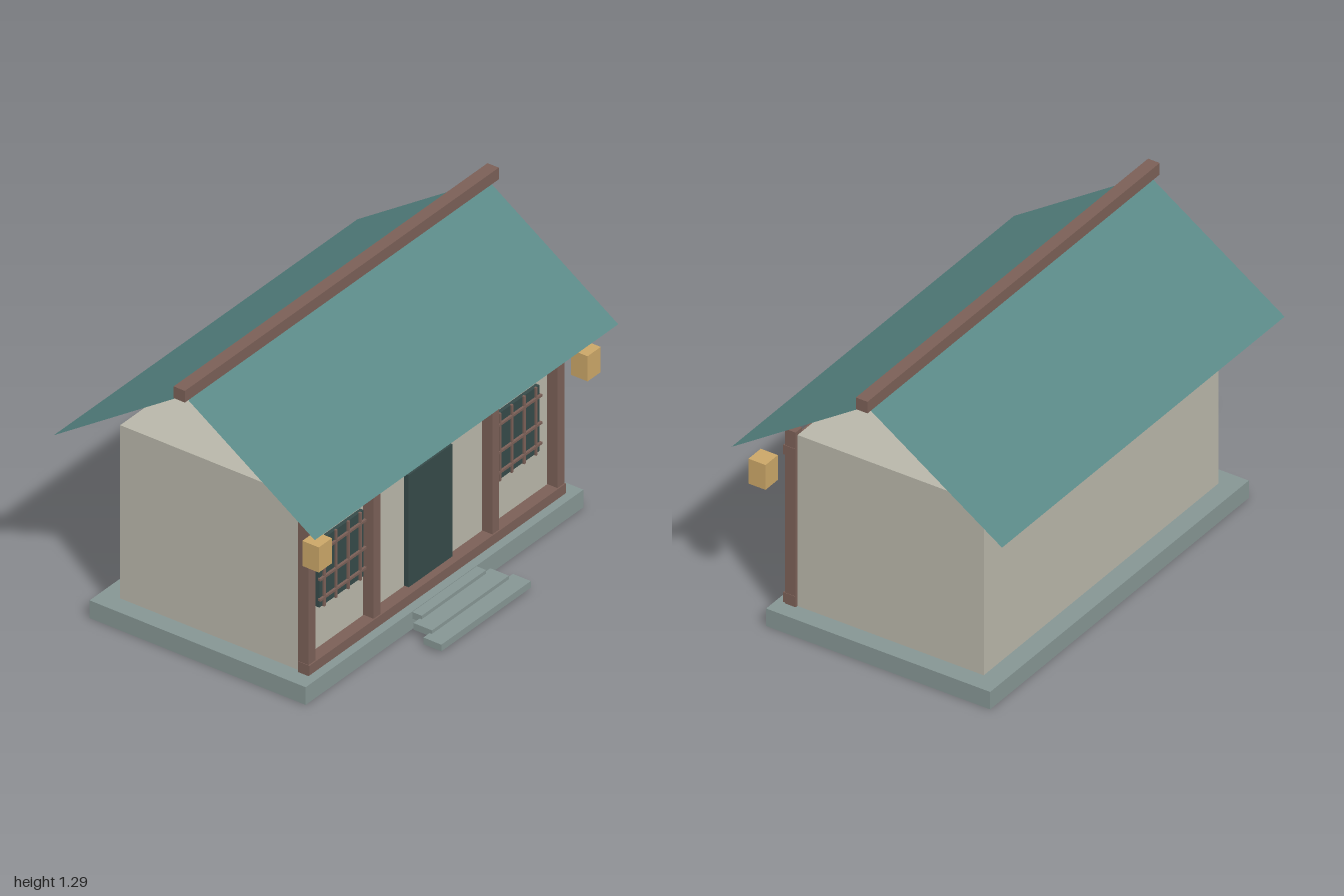
import * as THREE from 'three';

const mat = (name, color, side = THREE.FrontSide) => {
  const m = new THREE.MeshStandardMaterial({ color, side });
  m.name = name;
  return m;
};

export function createModel() {
  const house = new THREE.Group();
  house.name = 'house';
  const stone = mat('stone grey', 0x869694);
  const plaster = mat('plaster', 0xb9b7aa);
  const timber = mat('timber brown', 0x7b6057);
  const dark = mat('dark panel', 0x364a49);
  const tile = mat('roof teal', 0x588785, THREE.DoubleSide);
  const paper = mat('lantern amber', 0xcba768);

  // Box given by its extents along each axis
  const box = (name, material, [x0, x1], [y0, y1], [z0, z1], parent = house) => {
    const mesh = new THREE.Mesh(new THREE.BoxGeometry(x1 - x0, y1 - y0, z1 - z0), material);
    mesh.position.set((x0 + x1) / 2, (y0 + y1) / 2, (z0 + z1) / 2);
    mesh.name = name;
    parent.add(mesh);
    return mesh;
  };
  const wide = (h, c = 0) => [c - h, c + h];

  // Foundation, walls and floating steps
  box('foundation', stone, wide(0.885), [0, 0.08], [-0.56, 0.475]);
  box('walls', plaster, wide(0.803), [0.08, 0.865], [-0.475, 0.385]);
  box('lowerStep', stone, wide(0.285), [0.015, 0.045], [0.588, 0.674]);
  box('middleStep', stone, wide(0.245), [0.031, 0.061], [0.51, 0.599]);
  box('upperStep', stone, wide(0.205), [0.047, 0.077], [0.433, 0.52]);

  // Timber frame across the front
  for (const x of [-0.793, -0.378, 0.378, 0.793])
    box('post', timber, wide(0.022, x), [0.08, 0.882], [0.386, 0.436]);
  box('lowerRail', timber, wide(0.817), [0.086, 0.13], [0.388, 0.442]);
  box('upperRail', timber, wide(0.817), [0.764, 0.807], [0.388, 0.442]);

  // Door
  box('door', dark, wide(0.139), [0.1, 0.638], [0.38, 0.408]);

  // Mirrored lattice windows and lanterns
  for (const s of [-1, 1]) {
    const win = new THREE.Group();
    win.name = s > 0 ? 'leftWindow' : 'rightWindow';
    const cx = s * 0.56;
    box('windowPanel', dark, wide(0.141, cx), [0.32, 0.62], [0.38, 0.402], win);
    for (const dx of [-0.115, -0.039, 0.039, 0.115])
      box('verticalBar', timber, wide(0.005, cx + dx), [0.317, 0.623], [0.4, 0.41], win);
    for (const y of [0.358, 0.45, 0.574])
      box('horizontalBar', timber, wide(0.147, cx), wide(0.005, y), [0.4, 0.412], win);
    house.add(win);
    box('lantern', paper, wide(0.042, s * 0.856), [0.634, 0.748], [0.469, 0.548]);
  }

  // Two thin roof sheets meeting under the ridge beam
  const ridgeZ = -0.045, ridgeY = 1.245, run = 0.625, eaveY = 0.828;
  const slope = Math.hypot(run, ridgeY - eaveY);
  const pitch = Math.atan2(ridgeY - eaveY, run);
  for (const s of [1, -1]) {
    const sheet = new THREE.Mesh(new THREE.PlaneGeometry(1.934, slope), tile);
    sheet.name = s > 0 ? 'frontRoof' : 'backRoof';
    sheet.rotation.set(-Math.PI / 2 + pitch, 0, 0);
    sheet.position.set(0, (ridgeY + eaveY) / 2, run / 2);
    const half = new THREE.Group();
    half.rotation.y = s > 0 ? 0 : Math.PI;
    half.position.z = ridgeZ;
    half.add(sheet);
    house.add(half);
  }
  box('ridgeBeam', timber, wide(1), [1.241, 1.294], [-0.071, -0.017]);

  return house;
}
